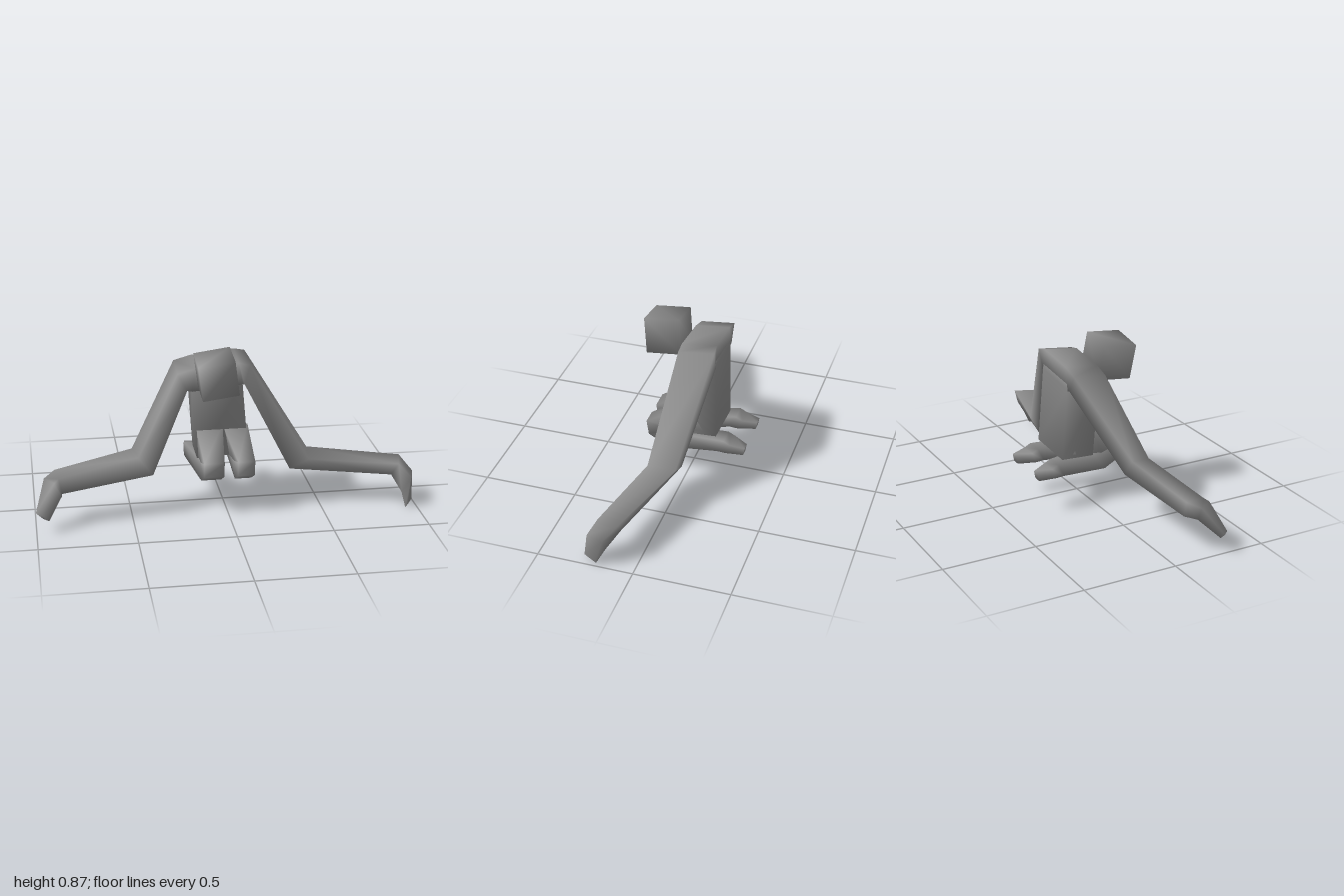
import * as THREE from 'three';

const material = new THREE.MeshStandardMaterial({ color: 0x8a8a8a });

// Skins a row of four-cornered rings (counter-clockwise seen from the end) with smooth normals
function loft(name, rings) {
  const index = [0, 2, 1, 0, 3, 2];
  const last = (rings.length - 1) * 4;
  for (let i = 0; i < last; i += 4) {
    for (let k = 0; k < 4; k++) {
      const a = i + k, b = i + (k + 1) % 4;
      index.push(a, b, b + 4, a, b + 4, a + 4);
    }
  }
  index.push(last, last + 1, last + 2, last, last + 2, last + 3);
  const geometry = new THREE.BufferGeometry();
  geometry.setAttribute('position', new THREE.Float32BufferAttribute(rings.flat(2), 3));
  geometry.setIndex(index);
  geometry.computeVertexNormals();
  const mesh = new THREE.Mesh(geometry, material);
  mesh.name = name;
  return mesh;
}

// Ring across an arm: top point, bottom point, front and back depth, forward tilt, sideways turn
function armRing([xt, yt, xb, yb, zf, zb, tilt, turn]) {
  return [
    [xt + turn, yt - tilt, zf], [xb + turn, yb - tilt, zf],
    [xb - turn, yb + tilt, zb], [xt - turn, yt + tilt, zb],
  ];
}

// Ring across a leg: side limits, outer edge (z, y) and inner edge (z, y)
function legRing([xa, xb, zo, yo, zi, yi]) {
  return [[xb, yo, zo], [xa, yo, zo], [xa, yi, zi], [xb, yi, zi]];
}

// Level torso ring, leaning sideways and forward by small slopes
function torsoRing([xl, xr, y, zf, zb, slopeX, slopeZ]) {
  return [[xr, zb], [xl, zb], [xl, zf], [xr, zf]]
    .map(([x, z]) => [x, y + x * slopeX - z * slopeZ, z]);
}

export function createModel() {
  const group = new THREE.Group();
  group.name = 'kneelingFigure';

  // Head: a tilted cube with soft shading
  const h = 0.095;
  const square = (z) => [[h, h, z], [-h, h, z], [-h, -h, z], [h, -h, z]];
  const head = loft('head', [square(-h), square(h)]);
  head.position.set(-0.055, 0.759, 0.157);
  head.rotation.set(0.11, 0, 0.14);
  group.add(head);

  // Arms and shoulders: one bar from the right hand to the left hand
  group.add(loft('armsAndShoulders', [
    [-0.985, 0.105, -0.95, 0.072, 0.314, 0.28, 0, 0.015],
    [-0.925, 0.25, -0.89, 0.175, 0.25, 0.175, 0, 0.025],
    [-0.885, 0.268, -0.87, 0.185, 0.23, 0.12, 0.004, 0.008],
    [-0.475, 0.335, -0.4, 0.235, 0.165, 0.055, 0.006, 0.012],
    [-0.24, 0.738, -0.19, 0.645, 0.035, -0.145, 0.01, 0],
    [-0.15, 0.763, -0.165, 0.64, 0.038, -0.145, 0.01, 0],
    [0.08, 0.786, 0.1, 0.67, 0.042, -0.145, 0.012, 0],
    [0.14, 0.773, 0.11, 0.67, 0.042, -0.15, 0.012, 0],
    [0.455, 0.252, 0.35, 0.205, 0.11, -0.045, 0.006, -0.008],
    [0.925, 0.232, 0.885, 0.175, 0.207, 0.09, 0.004, -0.015],
    [0.985, 0.165, 0.935, 0.085, 0.245, 0.155, 0, -0.015],
    [0.97, 0.022, 0.957, 0.005, 0.27, 0.2, 0, -0.02],
  ].map(armRing)));

  // Torso: from the hips up into the shoulder bar
  group.add(loft('torso', [
    [-0.14, 0.135, 0.26, 0.02, -0.16, 0.05, 0.05],
    [-0.168, 0.1, 0.66, 0.036, -0.146, 0.1, 0.12],
    [-0.155, 0.085, 0.765, 0.034, -0.142, 0.1, 0.12],
  ].map(torsoRing)));

  // Legs: thigh forward to the knee, then shin and foot folded back
  const legs = {
    leftLeg: { hip: [0.0, 0.133], knee: [0.05, 0.138], ankle: [0.05, 0.145], toe: [0.085, 0.13] },
    rightLeg: { hip: [-0.143, 0.0], knee: [-0.128, -0.022], ankle: [-0.18, -0.09], toe: [-0.165, -0.12] },
  };
  for (const [name, { hip, knee, ankle, toe }] of Object.entries(legs)) {
    group.add(loft(name, [
      [...hip, 0.0, 0.425, -0.1, 0.28],
      [...knee, 0.222, 0.295, 0.08, 0.25],
      [...knee, 0.21, 0.215, 0.07, 0.245],
      [...knee, 0.1, 0.155, 0.03, 0.25],
      [...ankle, -0.17, 0.189, -0.205, 0.258],
      [...ankle, -0.215, 0.186, -0.24, 0.24],
      [...toe, -0.308, 0.183, -0.316, 0.224],
    ].map(legRing)));
  }

  return group;
}
